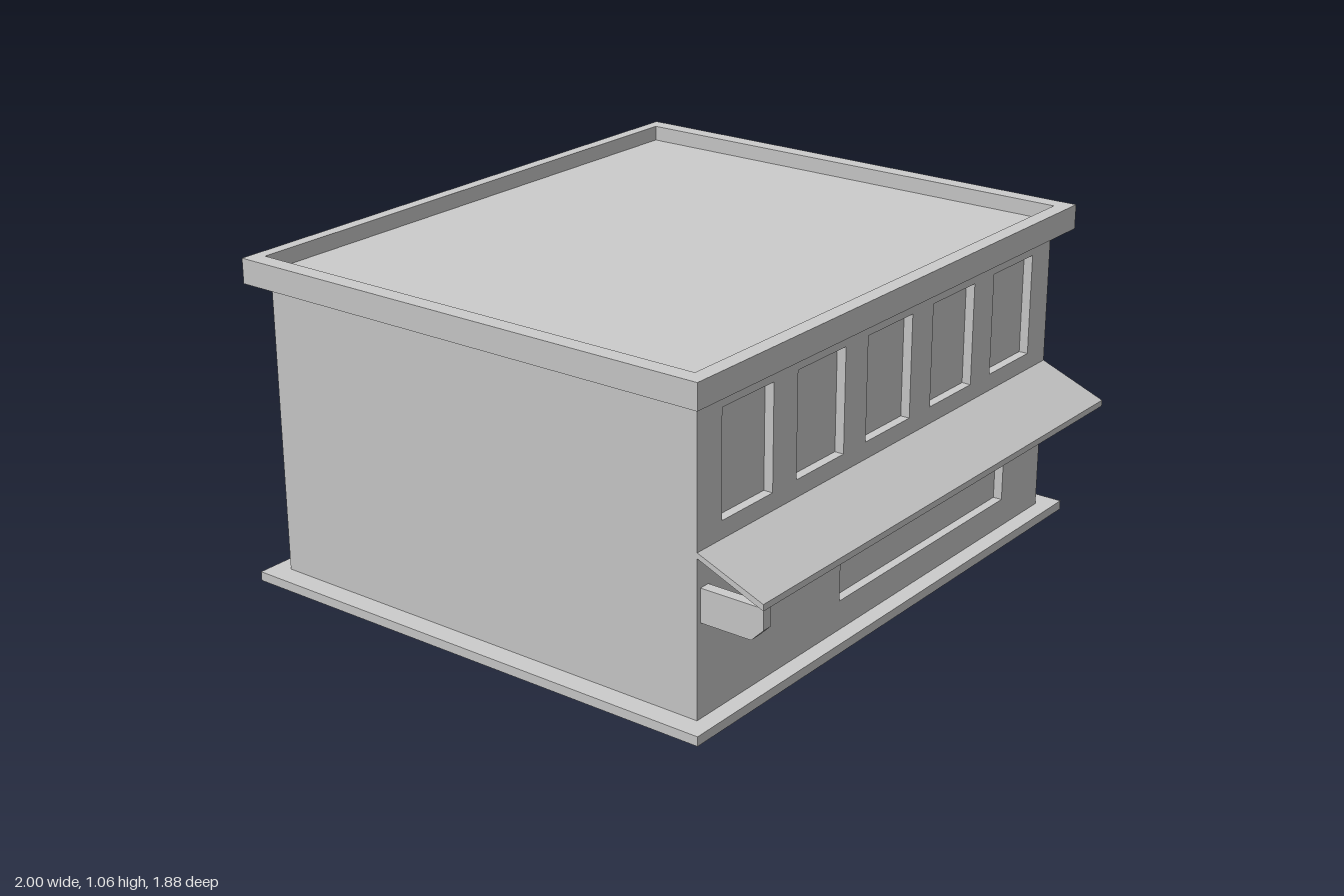
import * as THREE from 'three';

const material = new THREE.MeshStandardMaterial({
  color: 0xcccccc, flatShading: true, side: THREE.DoubleSide,
});

// Wall faces and heights
const X = 0.93, FRONT = 0.72, BACK = -0.88;
const WALL_BOTTOM = 0.03, ROOF_Y = 1.01, RECESS = 0.03;

function addMesh(group, name, geometry) {
  const mesh = new THREE.Mesh(geometry, material);
  mesh.name = name;
  group.add(mesh);
  return mesh;
}

function rectangle(PathType, x0, x1, y0, y1) {
  const path = new PathType();
  path.moveTo(x0, y0);
  path.lineTo(x1, y0);
  path.lineTo(x1, y1);
  path.lineTo(x0, y1);
  path.closePath();
  return path;
}

// Horizontal rectangular frame; bounds are [halfWidth, zBack, zFront]
function frame(outer, inner, y0, y1) {
  const shape = rectangle(THREE.Shape, -outer[0], outer[0], -outer[2], -outer[1]);
  shape.holes.push(rectangle(THREE.Path, -inner[0], inner[0], -inner[2], -inner[1]));
  return new THREE.ExtrudeGeometry(shape, { depth: y1 - y0, bevelEnabled: false })
    .rotateX(-Math.PI / 2).translate(0, y0, 0);
}

// Side profile given as [z, y] points, extruded from x0 to x1
function sideProfile(points, x0, x1) {
  const shape = new THREE.Shape(points.map(([z, y]) => new THREE.Vector2(-z, y)));
  return new THREE.ExtrudeGeometry(shape, { depth: x1 - x0, bevelEnabled: false })
    .rotateY(Math.PI / 2).translate(x0, 0, 0);
}

// Box with its front face left out, set behind an opening in the front wall
function recess([x0, x1, y0, y1]) {
  const box = new THREE.BoxGeometry(x1 - x0, y1 - y0, RECESS);
  const index = Array.from(box.index.array);
  index.splice(24, 6);
  box.setIndex(index);
  box.clearGroups();
  return box.translate((x0 + x1) / 2, (y0 + y1) / 2, FRONT - RECESS / 2);
}

export function createModel() {
  const model = new THREE.Group();
  model.name = 'shopBuilding';

  // Openings: five upper windows and one wide shop window
  const openings = [];
  for (let i = -2; i <= 2; i++) {
    openings.push({ name: 'upperWindow', rect: [i * 0.351 - 0.118, i * 0.351 + 0.118, 0.595, 0.925] });
  }
  openings.push({ name: 'shopWindow', rect: [-0.235, 0.70, 0.125, 0.46] });

  // Front wall with its window recesses
  const frontShape = rectangle(THREE.Shape, -X, X, WALL_BOTTOM, ROOF_Y);
  for (const { name, rect } of openings) {
    frontShape.holes.push(rectangle(THREE.Path, ...rect));
    addMesh(model, name, recess(rect));
  }
  addMesh(model, 'frontWall', new THREE.ShapeGeometry(frontShape).translate(0, 0, FRONT));

  // Thin side and back walls, hollow inside and open underneath
  const height = ROOF_Y - WALL_BOTTOM, midY = (ROOF_Y + WALL_BOTTOM) / 2;
  const depth = FRONT - BACK, midZ = (FRONT + BACK) / 2;
  for (const side of [-1, 1]) {
    const wall = addMesh(model, side > 0 ? 'leftWall' : 'rightWall', new THREE.PlaneGeometry(depth, height));
    wall.rotation.y = side * Math.PI / 2;
    wall.position.set(side * X, midY, midZ);
  }
  const backWall = addMesh(model, 'backWall', new THREE.PlaneGeometry(2 * X, height));
  backWall.rotation.y = Math.PI;
  backWall.position.set(0, midY, BACK);

  // Flat roof sunk inside the parapet
  const roof = addMesh(model, 'roof', new THREE.PlaneGeometry(1.88, 1.61));
  roof.rotation.x = -Math.PI / 2;
  roof.position.set(0, ROOF_Y, -0.085);

  // Parapet and base frames
  addMesh(model, 'parapet', frame([0.995, -0.93, 0.77], [0.94, -0.89, 0.72], 0.98, 1.06));
  addMesh(model, 'base', frame([1, -0.94, 0.775], [X, BACK, FRONT], 0, WALL_BOTTOM));

  // Sloping awning, its rear edge let into the wall
  addMesh(model, 'awning', sideProfile(
    [[0.70, 0.548], [0.94, 0.452], [0.94, 0.432], [0.70, 0.531]], -X, X));

  // Single chamfered bracket below the awning
  addMesh(model, 'bracket', sideProfile(
    [[0.715, 0.325], [0.89, 0.325], [0.93, 0.365], [0.93, 0.43], [0.715, 0.43]], -0.915, -0.88));

  return model;
}
